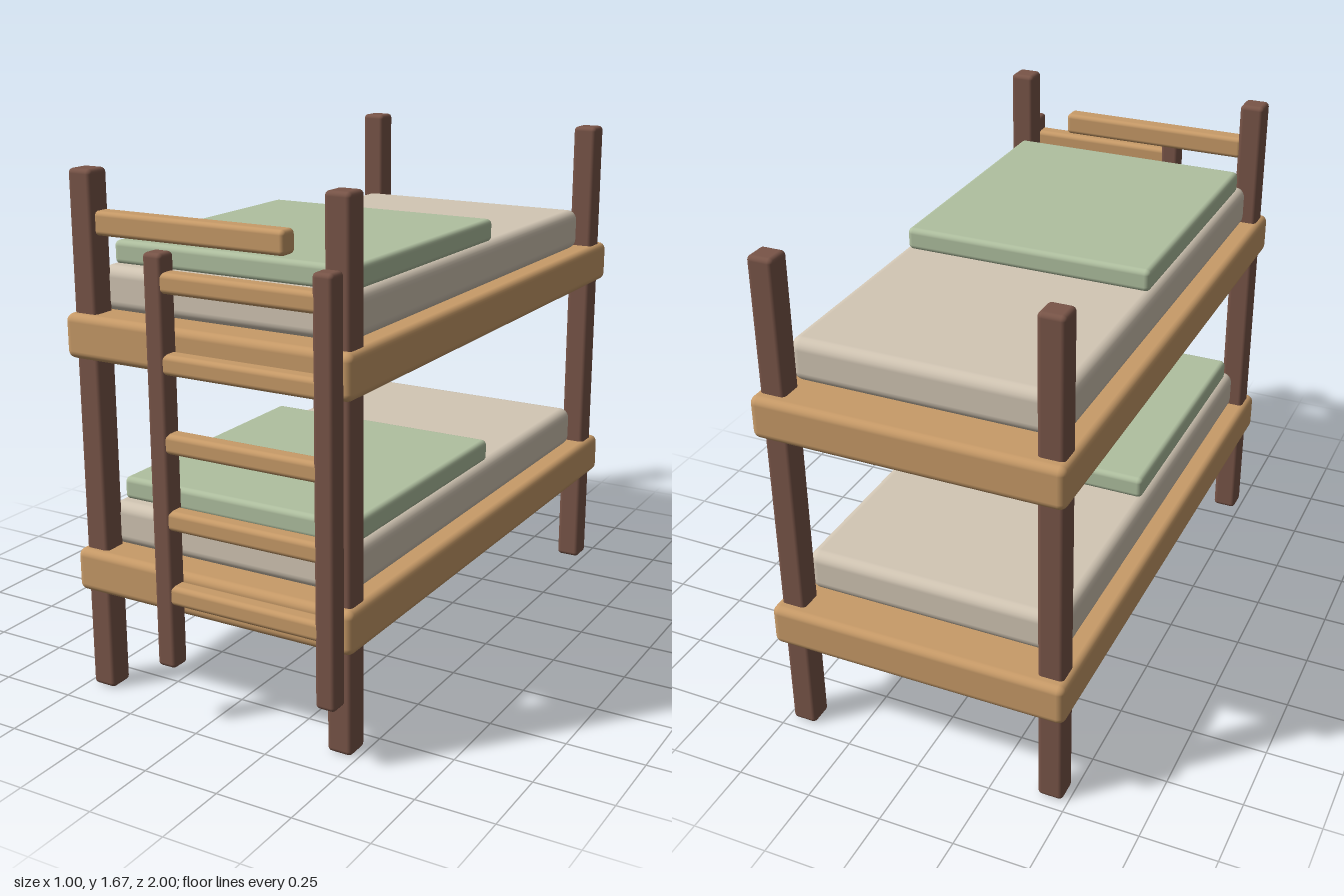
import * as THREE from 'three';
import { RoundedBoxGeometry } from 'three/addons/geometries/RoundedBoxGeometry.js';

const material = (name, color) => {
  const m = new THREE.MeshStandardMaterial({ color });
  m.name = name;
  return m;
};

export function createModel() {
  const darkWood = material('dark wood', 0x795548);
  const lightWood = material('light wood', 0xc89b68);
  const cream = material('cream fabric', 0xd2c6b4);
  const sage = material('sage fabric', 0xb0c0a0);

  const model = new THREE.Group();
  model.name = 'bunkBed';

  // Soft-edged box given by its extents on each axis
  const box = (parent, name, mat, [x0, x1], [y0, y1], [z0, z1], radius) => {
    const geometry = new RoundedBoxGeometry(x1 - x0, y1 - y0, z1 - z0, 3, radius);
    const mesh = new THREE.Mesh(geometry, mat);
    mesh.name = name;
    mesh.position.set((x0 + x1) / 2, (y0 + y1) / 2, (z0 + z1) / 2);
    parent.add(mesh);
  };

  // Four corner posts
  for (const x of [-0.44, 0.44]) {
    for (const z of [-0.92, 0.85]) {
      box(model, 'cornerPost', darkWood, [x - 0.042, x + 0.042], [0, 1.67], [z - 0.042, z + 0.042], 0.015);
    }
  }

  // Two bunks: deck, mattress and folded blanket
  for (const [name, y] of [['lowerBunk', 0.335], ['upperBunk', 1.095]]) {
    const bunk = new THREE.Group();
    bunk.name = name;
    bunk.position.y = y;
    box(bunk, 'deck', lightWood, [-0.5, 0.5], [0, 0.14], [-1, 0.92], 0.025);
    box(bunk, 'mattress', cream, [-0.44, 0.44], [0.135, 0.277], [-0.86, 0.82], 0.035);
    box(bunk, 'blanket', sage, [-0.42, 0.42], [0.272, 0.347], [-0.15, 0.77], 0.018);
    model.add(bunk);
  }

  // Guard rail above the upper bunk, open next to the ladder
  box(model, 'guardRail', lightWood, [-0.41, 0.26], [1.472, 1.546], [0.81, 0.875], 0.015);

  // Ladder at the front
  const ladder = new THREE.Group();
  ladder.name = 'ladder';
  for (const x of [-0.102, 0.457]) {
    box(ladder, 'ladderSide', darkWood, [x - 0.033, x + 0.033], [0.195, 1.47], [0.934, 1], 0.014);
  }
  for (let i = 0; i < 5; i++) {
    const y = 0.433 + i * 0.238;
    box(ladder, 'rung', lightWood, [-0.088, 0.446], [y - 0.031, y + 0.031], [0.937, 0.998], 0.016);
  }
  model.add(ladder);

  return model;
}
